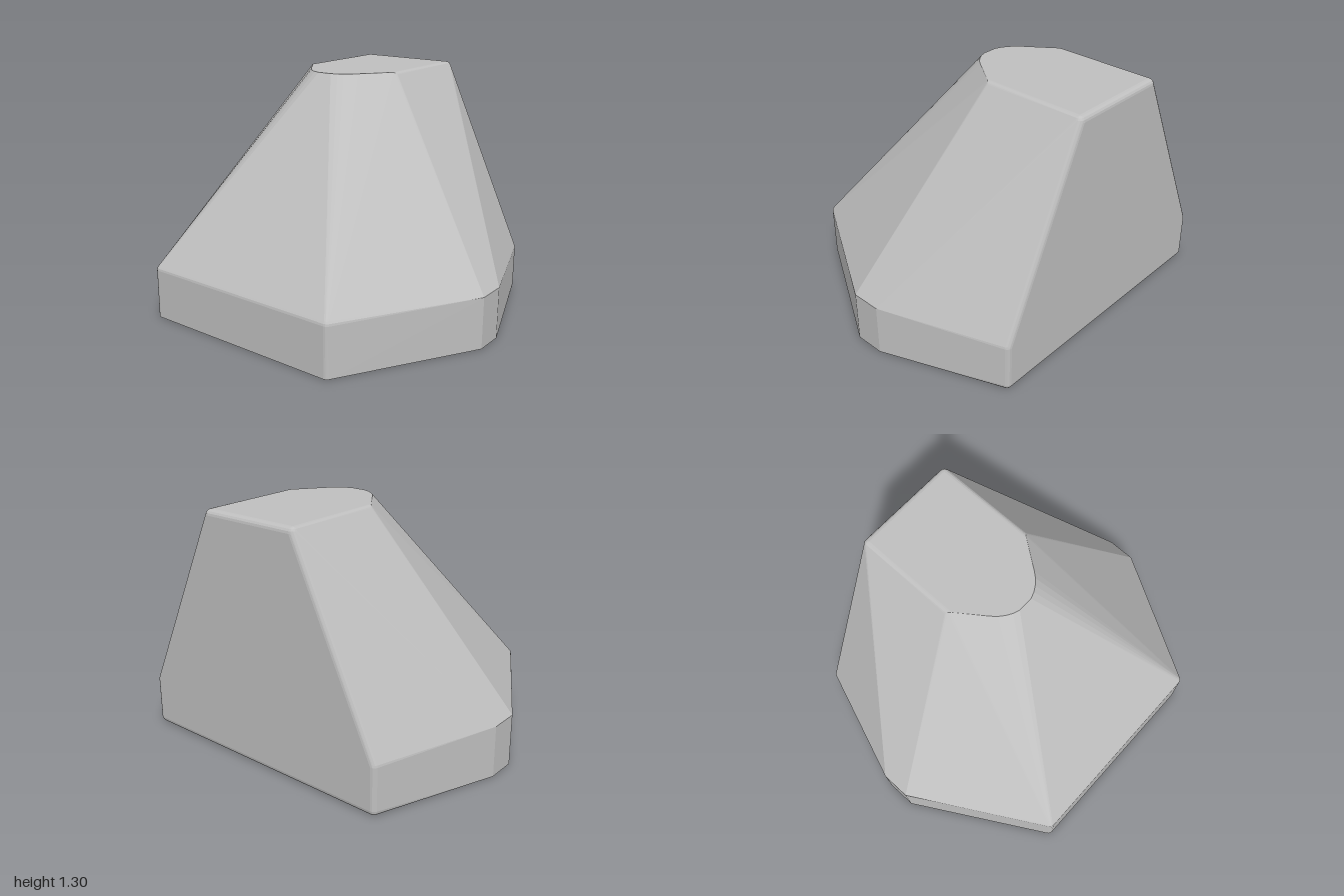
import * as THREE from 'three';
import { ConvexGeometry } from 'three/addons/geometries/ConvexGeometry.js';

const R = 0.03; // edge rounding radius

export function createModel() {
  const grey = new THREE.MeshStandardMaterial({ color: 0xc0c0c0 });
  grey.name = 'plain grey';

  const points = [];
  // add a point on both sides of the middle plane
  const add = (x, y, z) => points.push(new THREE.Vector3(x, y, z), new THREE.Vector3(-x, y, z));
  // a small ball whose hull rounds the corner
  const ball = (x, y, z) => {
    const p = new THREE.SphereGeometry(R, 16, 8).attributes.position;
    const seen = new Set();
    for (let i = 0; i < p.count; i++) {
      const v = [p.getX(i), p.getY(i), p.getZ(i)];
      const key = v.map((n) => Math.round(n * 1e4)).join();
      if (seen.has(key)) continue;
      seen.add(key);
      add(x + v[0], y + v[1], z + v[2]);
    }
  };

  // rounded back wall: bottom, shoulder and top corners
  ball(0.741, R, -0.75);
  ball(0.741, 0.26, -0.75);
  ball(0.268, 1.27, -0.75);

  // front corners, rounded above and sharp along the floor
  ball(0.562, 0.27, 0.75);
  for (let i = 0; i <= 6; i++) {
    const a = (i / 6) * Math.PI / 2;
    add(0.562 + R * Math.sin(a), 0, 0.75 + R * Math.cos(a));
  }

  // narrow side faces of the base
  for (const y of [0, 0.28]) for (const z of [0.05, -0.11]) add(1, y, z);

  // rounded side ends of the top rim
  for (let i = 0; i <= 4; i++) {
    const a = (i / 4) * Math.PI * 0.31;
    add(0.268 + R * Math.sin(a), 1.27 + R * Math.cos(a), -0.185 - R * Math.sin(a));
  }
  // curved front of the top rim
  for (const [x, z] of [[0.16, -0.035], [0.135, -0.005], [0.105, 0.02], [0.075, 0.038], [0.04, 0.05]]) add(x, 1.3, z);

  const body = new THREE.Mesh(new ConvexGeometry(points), grey);
  body.name = 'body';

  const model = new THREE.Group();
  model.name = 'facetedBlock';
  model.add(body);
  return model;
}
